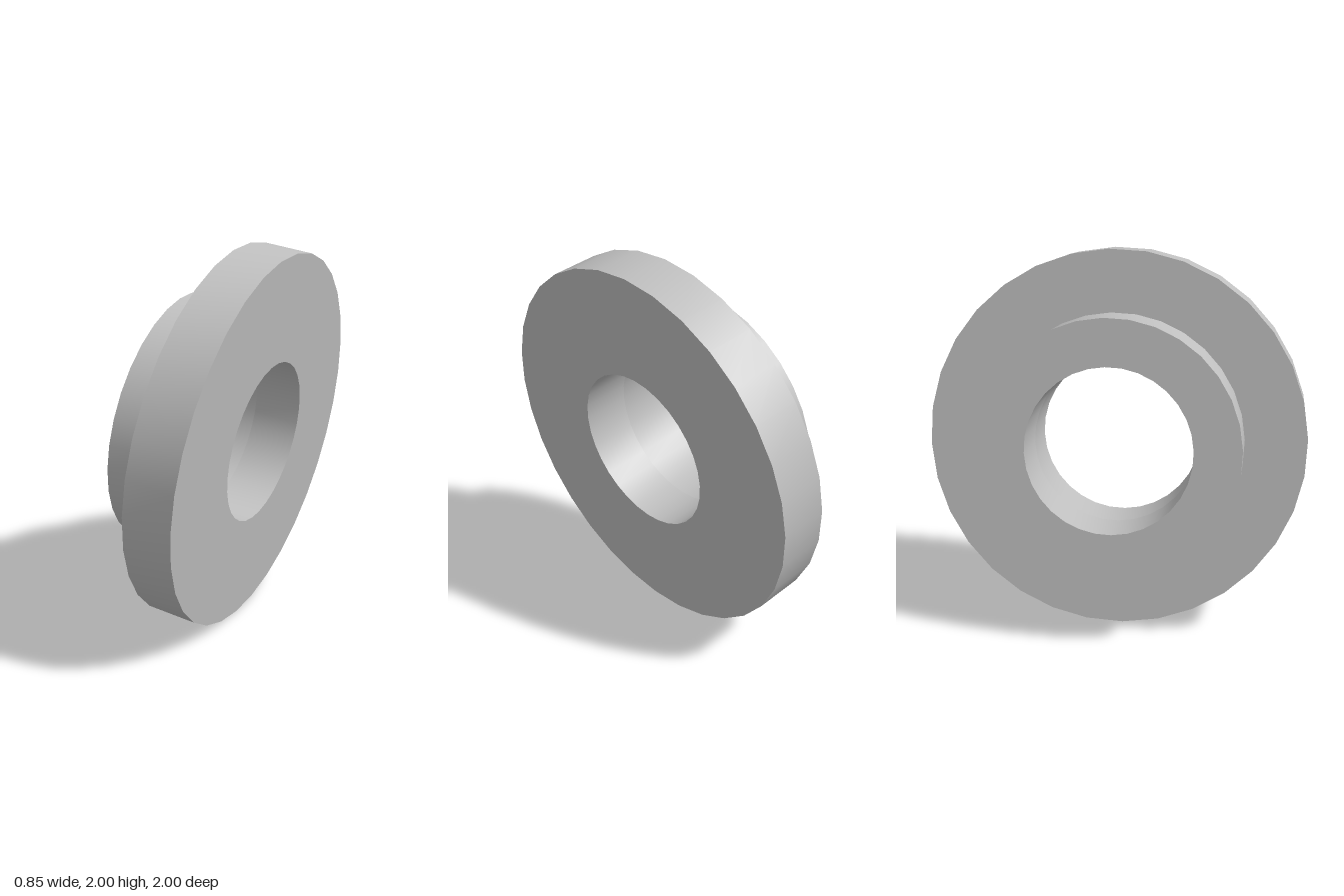
import * as THREE from 'three';
import { toCreasedNormals } from 'three/addons/utils/BufferGeometryUtils.js';

const SEGMENTS = 32;
const BORE = 0.428, COLLAR = 0.67, FLANGE = 0.991; // radii
const FRONT = 0.128, BACK = -0.128, END = -0.408;  // positions along the axis

// Turned surface with smooth walls and sharp rims
function turned(name, profile, material) {
  const points = profile.map(([r, y]) => new THREE.Vector2(r, y));
  const mesh = new THREE.Mesh(
    toCreasedNormals(new THREE.LatheGeometry(points, SEGMENTS), 0.6), material);
  mesh.name = name;
  return mesh;
}

export function createModel() {
  const steel = new THREE.MeshStandardMaterial({ color: 0xc0c0c0 });
  steel.name = 'light grey';

  const bushing = new THREE.Group();
  bushing.name = 'flangedBushing';

  // Wide flange: back shoulder, rim, front face and its part of the bore
  bushing.add(turned('flange', [
    [COLLAR, BACK], [FLANGE, BACK], [FLANGE, FRONT], [BORE, FRONT], [BORE, BACK],
  ], steel));

  // Narrow collar: its part of the bore, end face and outer wall
  bushing.add(turned('collar', [
    [BORE, BACK], [BORE, END], [COLLAR, END], [COLLAR, BACK],
  ], steel));

  // Lay the turning axis along x, tipped slightly down and forward
  const axis = new THREE.Vector3(0.98, -0.139, 0.139).normalize();
  bushing.quaternion.setFromUnitVectors(new THREE.Vector3(0, 1, 0), axis);
  bushing.position.set(0.102, 1, 0);

  const model = new THREE.Group();
  model.name = 'model';
  model.add(bushing);
  return model;
}
